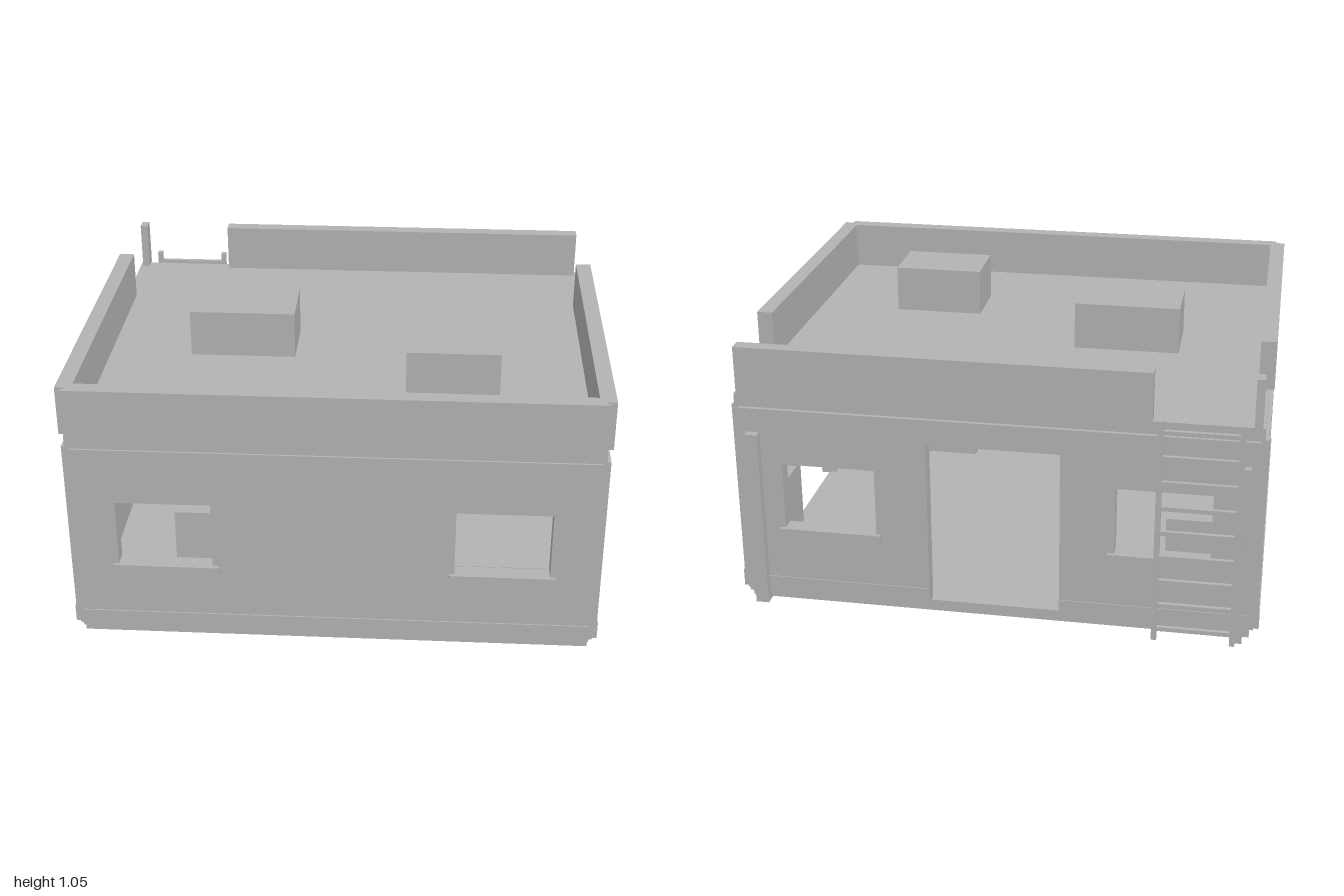
import * as THREE from 'three';

export function createModel() {
  const model = new THREE.Group();
  model.name = 'blockhouse';
  const concrete = new THREE.MeshStandardMaterial({ color: 0xb2b2b2 });
  concrete.name = 'concrete grey';

  // Box given by its min and max corners
  function box(name, x0, x1, y0, y1, z0, z1, parent = model) {
    const mesh = new THREE.Mesh(new THREE.BoxGeometry(x1 - x0, y1 - y0, z1 - z0), concrete);
    mesh.position.set((x0 + x1) / 2, (y0 + y1) / 2, (z0 + z1) / 2);
    mesh.name = name;
    parent.add(mesh);
    return mesh;
  }

  // Wall panel in the u-y plane with window holes and an optional doorway
  const T = 0.06, WALL0 = 0.04, WALL1 = 0.81, DOOR_TOP = 0.71;
  function wall(name, u0, u1, windows, door) {
    const pts = [[u0, WALL0]];
    if (door) pts.push([door[0], WALL0], [door[0], DOOR_TOP], [door[1], DOOR_TOP], [door[1], WALL0]);
    pts.push([u1, WALL0], [u1, WALL1], [u0, WALL1]);
    const shape = new THREE.Shape(pts.map(p => new THREE.Vector2(...p)));
    for (const [a, b] of windows) {
      const hole = [[a, 0.32], [a, 0.59], [b, 0.59], [b, 0.32]];
      shape.holes.push(new THREE.Path(hole.map(p => new THREE.Vector2(...p))));
    }
    const mesh = new THREE.Mesh(new THREE.ExtrudeGeometry(shape, { depth: T, bevelEnabled: false }), concrete);
    mesh.name = name;
    model.add(mesh);
    return mesh;
  }

  // Floor and roof slabs
  box('floorSlab', -0.965, 0.965, 0, 0.045, -0.785, 0.83);
  box('roofSlab', -0.98, 0.98, 0.81, 0.86, -0.8, 0.845);

  // Walls
  const frontWindows = [[-0.81, -0.455], [0.45, 0.805]];
  const sideWindows = [[-0.625, -0.27], [0.31, 0.67]];
  const sideDoor = [-0.22, 0.265], backDoor = [-0.25, 0.25];
  wall('frontWall', -0.965, 0.965, frontWindows).position.z = 0.853 - T;
  wall('backWall', -0.965, 0.965, frontWindows, backDoor).position.z = -0.815;
  for (const s of [1, -1]) {
    const side = wall(s > 0 ? 'leftWall' : 'rightWall', -0.785, 0.83, sideWindows, s > 0 ? sideDoor : null);
    side.rotation.y = -Math.PI / 2;
    side.position.x = s > 0 ? 0.996 : -0.996 + T;
  }

  // Recessed corner posts between the wall panels
  for (const s of [-1, 1]) {
    const a = Math.min(s * 0.93, s * 0.98), b = Math.max(s * 0.93, s * 0.98);
    box('frontCornerPost', a, b, 0.04, 1.045, 0.79, 0.842);
    box('backCornerPost', a, b, 0.04, 0.855, -0.798, -0.75);
  }

  // Slightly raised plinth strips, broken at the doorways
  const P0 = 0.04, P1 = 0.11;
  box('frontPlinth', -0.965, 0.965, P0, P1, 0.85, 0.858);
  box('backPlinth', -0.965, -0.25, P0, P1, -0.819, -0.81);
  box('backPlinth', 0.25, 0.965, P0, P1, -0.819, -0.81);
  box('rightPlinth', -1, -0.99, P0, P1, -0.785, 0.83);
  box('leftPlinth', 0.99, 1, P0, P1, -0.785, -0.22);
  box('leftPlinth', 0.99, 1, P0, P1, 0.265, 0.83);

  // Window sills on the front and back
  for (const [x0, x1] of [[-0.83, -0.43], [0.43, 0.825]]) {
    box('frontSill', x0, x1, 0.295, 0.325, 0.8, 0.868);
    box('backSill', x0, x1, 0.295, 0.325, -0.83, -0.76);
  }

  // Parapets with a gap at the back corners
  const R0 = 0.86, R1 = 1.05;
  box('frontParapet', -0.965, 0.965, R0, R1, 0.795, 0.855);
  box('leftParapet', 0.94, 1, R0, R1, -0.43, 0.83);
  box('rightParapet', -1, -0.94, R0, R1, -0.43, 0.83);
  box('backParapet', -0.58, 0.965, R0, R1, -0.815, -0.76);
  box('parapetStub', -0.97, -0.94, R0, R1, -0.815, -0.76);

  // Roof units
  box('roofUnit', -0.615, -0.2, R0, 1.045, -0.11, 0.14);
  box('roofUnit', 0.25, 0.605, R0, 1.045, 0.22, 0.46);

  // Drain pipes on the back
  box('drainPipe', -0.94, -0.895, 0.005, 0.715, -0.845, -0.795);
  box('drainPipe', 0.885, 0.935, 0.005, 0.715, -0.845, -0.795);

  // Ladder to the roof
  const ladder = new THREE.Group();
  ladder.name = 'ladder';
  model.add(ladder);
  box('ladderRail', -0.915, -0.895, 0.005, 0.89, -0.87, -0.845, ladder);
  box('ladderRail', -0.625, -0.605, 0.005, 0.89, -0.87, -0.845, ladder);
  for (let i = 0; i < 9; i++) {
    const y = 0.05 + i * 0.0995;
    box('ladderRung', -0.9, -0.62, y - 0.008, y + 0.008, -0.866, -0.85, ladder);
  }

  // Furniture inside
  box('cabinet', -0.6, -0.3, 0.045, 0.52, 0.635, 0.793);
  box('bench', 0.35, 0.8, 0.045, 0.322, 0.56, 0.793);
  box('crate', -0.93, -0.62, 0.045, 0.322, -0.495, -0.075);

  return model;
}
